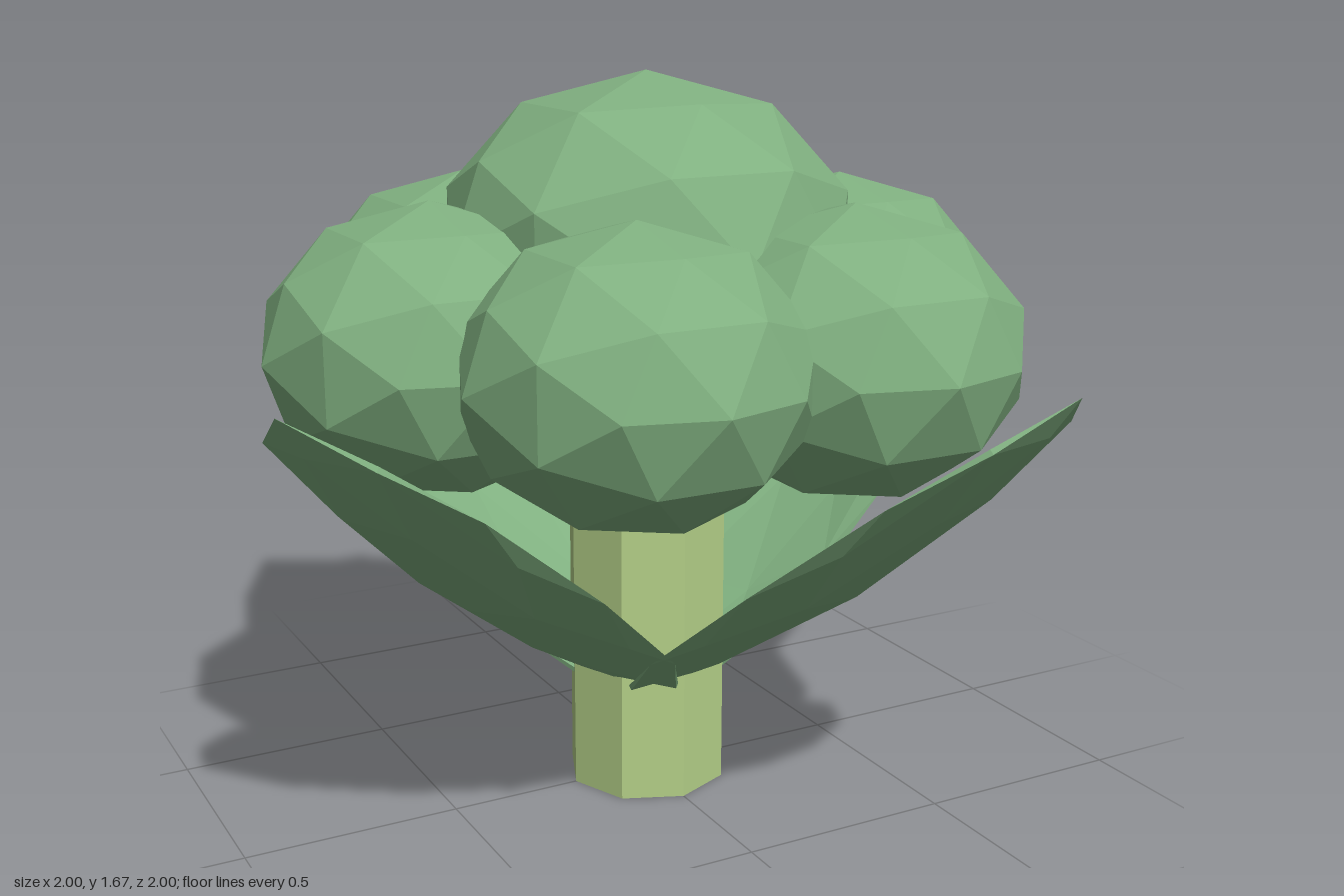
import * as THREE from 'three';

const flat = (name, color) => {
  const m = new THREE.MeshStandardMaterial({ color, flatShading: true });
  m.name = name;
  return m;
};

export function createModel() {
  const green = flat('leafGreen', 0x80b080);
  const pale = flat('paleStem', 0xb4d088);
  const model = new THREE.Group();
  model.name = 'vegetable';

  const add = (name, geometry, material, x, y, z) => {
    const mesh = new THREE.Mesh(geometry, material);
    mesh.name = name;
    mesh.position.set(x, y, z);
    model.add(mesh);
    return mesh;
  };
  const ball = () => new THREE.IcosahedronGeometry(1, 1).rotateY(Math.PI / 2);

  // Eight-sided stem
  add('stem', new THREE.CylinderGeometry(0.19, 0.19, 1.2, 8), pale, 0, 0.6, 0);

  // Faceted, slightly squashed florets: a ring of six and a large crown
  for (let i = 0; i < 6; i++) {
    const a = (i * Math.PI) / 3;
    add('outerFloret', ball().scale(0.38, 0.32, 0.38), green, 0.52 * Math.cos(a), 1.1, 0.52 * Math.sin(a));
  }
  add('crownFloret', ball().scale(0.475, 0.38, 0.475), green, 0, 1.295, 0);

  // Cupped leaf: thin faceted oval with a flat rim and its middle bowed outward
  const leaf = ball();
  const p = leaf.attributes.position;
  for (let i = 0; i < p.count; i++) {
    const u = p.getX(i), v = p.getY(i), w = p.getZ(i);
    p.setXYZ(i, 0.325 * u, 0.715 * v, 0.02 * w + 0.075 * (1 - u * u - v * v));
  }
  leaf.rotateX(0.89);
  leaf.translate(0, 0.65, 0.53);

  // Four leaves rising out of the stem
  for (let i = 0; i < 4; i++) {
    add('leaf', leaf, green, 0, 0, 0).rotation.y = 0.4 + (i * Math.PI) / 2;
  }
  return model;
}
